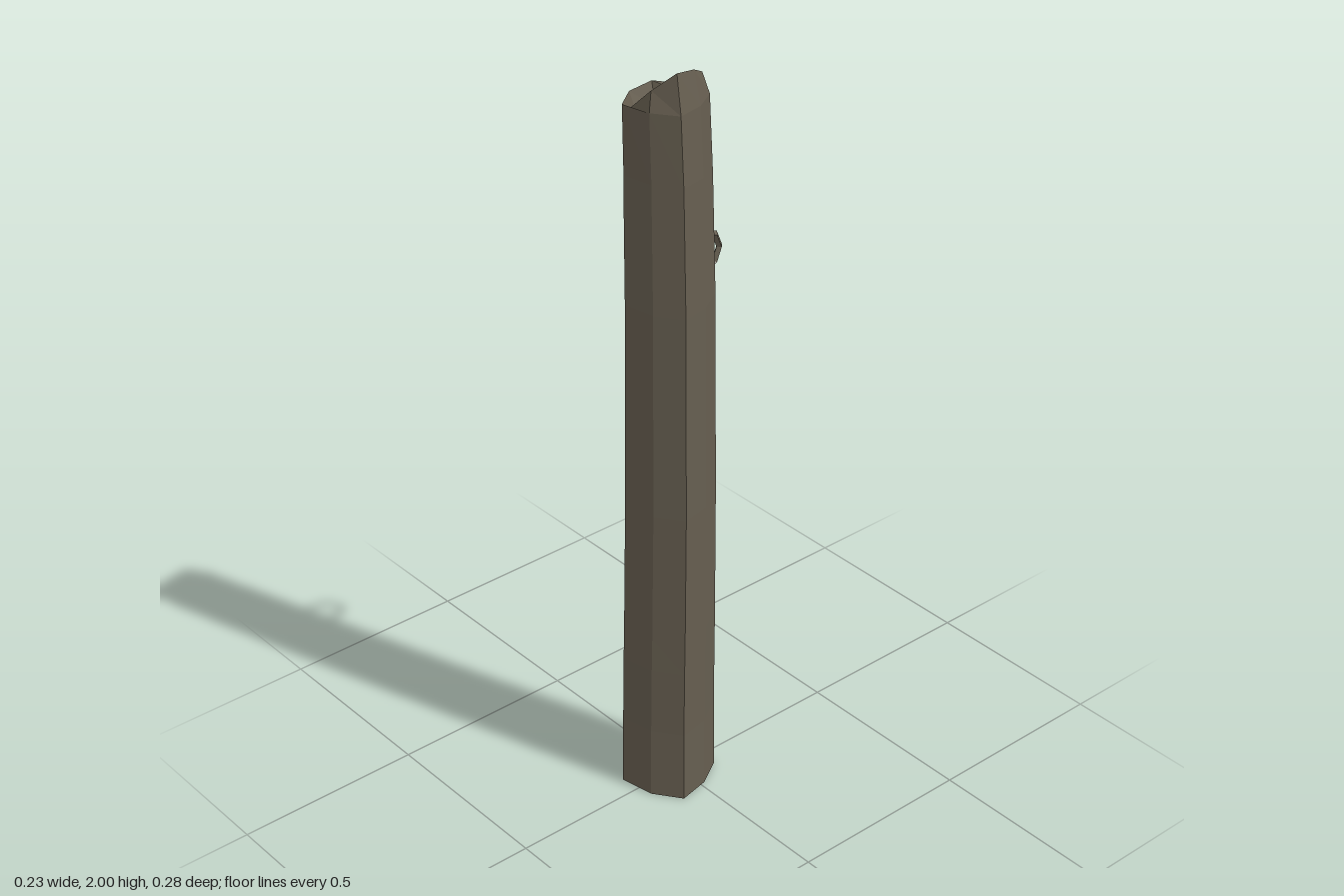
import * as THREE from 'three';

export function createModel() {
  const group = new THREE.Group();
  const wood = new THREE.MeshStandardMaterial({ color: 0x665e50, flatShading: true });
  wood.name = 'weathered wood';

  // Uneven eight-sided outline around its own centre [x, z], clockwise from above
  const corners = [[-0.119, -0.05], [-0.052, -0.098], [0.055, -0.113], [0.1, -0.042],
    [0.118, 0.043], [0.045, 0.094], [-0.05, 0.112], [-0.105, 0.042]];
  // Extra points along the back face: groove edge, floor, floor, edge
  const [p, q] = [corners[1], corners[2]];
  const groove = [0.18, 0.3, 0.62, 0.74].map(t =>
    [p[0] + (q[0] - p[0]) * t, p[1] + (q[1] - p[1]) * t]);
  const outline = [...corners.slice(0, 2), ...groove, ...corners.slice(2)];

  // Levels: height, centre x, centre z, scale x, scale z, groove depth
  const levels = [
    [0, -0.005, 0.028, 0.966, 1.0, 0],
    [0.2, -0.004, 0.028, 0.945, 0.98, 0],
    [0.39, 0.0, 0.029, 0.935, 0.97, 0],
    [0.49, 0.002, 0.029, 0.93, 0.96, 0.035],
    [0.85, 0.0075, 0.03, 0.91, 0.93, 0.035],
    [1.4, 0.0075, 0.03, 0.87, 0.89, 0.035],
    [1.67, 0.002, 0.03, 0.85, 0.86, 0.035],
    [1.73, 0.001, 0.03, 0.84, 0.85, 0],
    [1.905, -0.005, 0.031, 0.81, 0.83, 0],
  ];
  const rings = levels.map(([y, cx, cz, sx, sz, depth]) => outline.map(([x, z], i) =>
    [cx + x * sx, y, cz + z * sz + (i === 3 || i === 4 ? depth : 0)]));

  // Slanted broken top: a smaller ring on a tilted plane, sunken on one side
  const slope = x => 1.93 + x;
  rings.push(outline.map(([x, z]) => {
    const px = -0.005 + x * 0.635;
    return [px, slope(px), 0.031 + z * 0.7];
  }));

  // Skin the rings and close both ends
  const pos = [];
  const n = outline.length;
  const last = rings[rings.length - 1];
  for (let i = 0; i < n; i++) {
    const j = (i + 1) % n;
    for (let k = 0; k < rings.length - 1; k++) {
      const [a, b, A, B] = [rings[k][i], rings[k][j], rings[k + 1][i], rings[k + 1][j]];
      pos.push(...a, ...A, ...B, ...a, ...B, ...b);
    }
    pos.push(-0.005, 0, 0.028, ...rings[0][i], ...rings[0][j]);
    pos.push(-0.005, slope(-0.005), 0.031, ...last[j], ...last[i]);
  }
  const postGeometry = new THREE.BufferGeometry();
  postGeometry.setAttribute('position', new THREE.Float32BufferAttribute(pos, 3));
  postGeometry.computeVertexNormals();
  const post = new THREE.Mesh(postGeometry, wood);
  post.name = 'post';
  group.add(post);

  // Small ring handle standing out of the groove
  const ring = new THREE.Mesh(new THREE.TorusGeometry(0.051, 0.009, 4, 8), wood);
  ring.name = 'ring';
  ring.rotation.y = Math.PI / 2;
  ring.position.set(-0.004, 1.48, -0.083);
  group.add(ring);

  return group;
}
